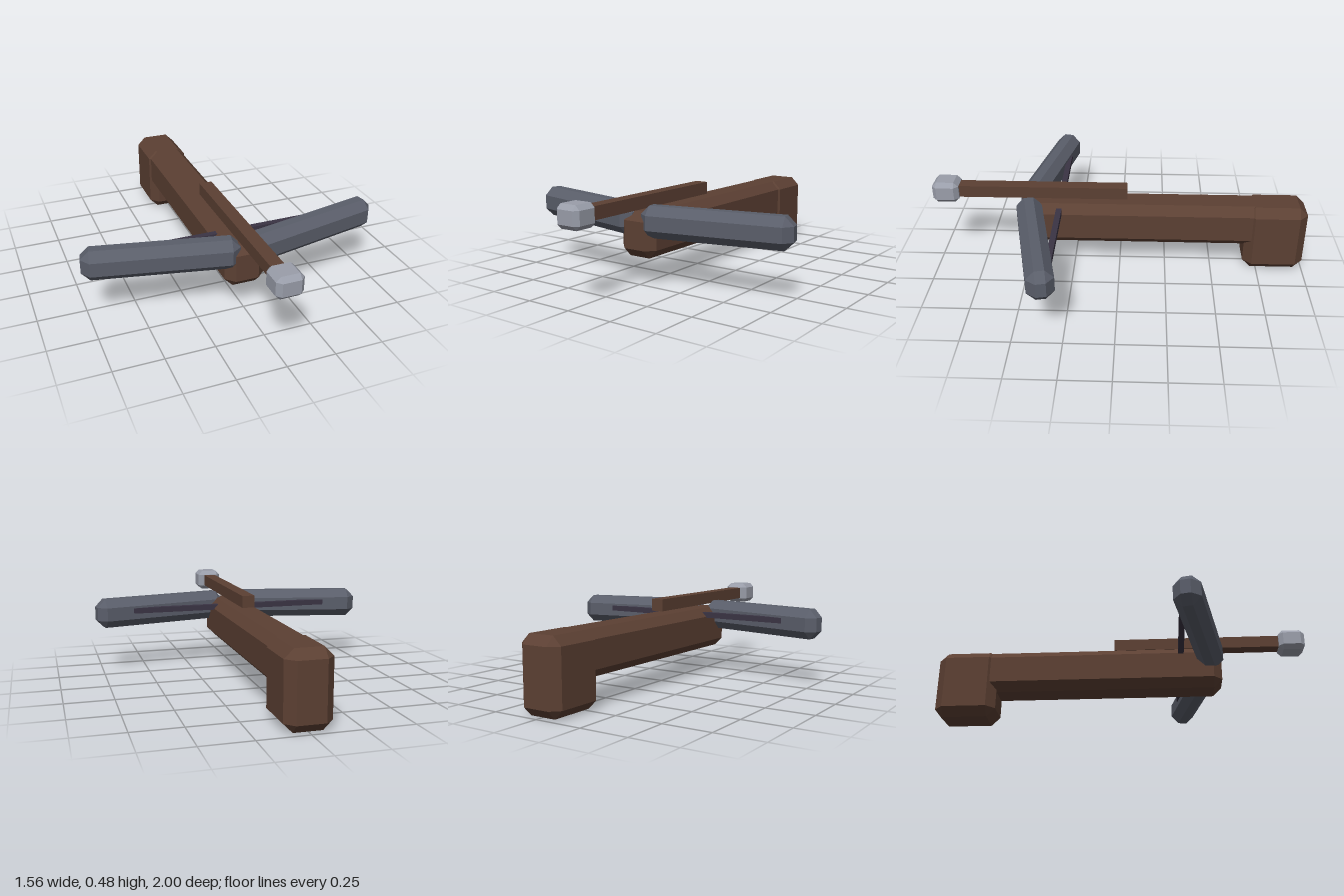
import * as THREE from 'three';
import { ConvexGeometry } from 'three/addons/geometries/ConvexGeometry.js';

function material(name, color) {
  const m = new THREE.MeshStandardMaterial({ color });
  m.name = name;
  return m;
}

// Box with all edges cut at 45 degrees: three points at each corner
function chamferedBox(w, h, d, c) {
  const points = [];
  for (const sx of [-1, 1]) for (const sy of [-1, 1]) for (const sz of [-1, 1]) {
    const x = w / 2, y = h / 2, z = d / 2;
    points.push(
      new THREE.Vector3(sx * x, sy * (y - c), sz * (z - c)),
      new THREE.Vector3(sx * (x - c), sy * y, sz * (z - c)),
      new THREE.Vector3(sx * (x - c), sy * (y - c), sz * z)
    );
  }
  return new ConvexGeometry(points);
}

export function createModel() {
  const group = new THREE.Group();
  group.name = 'crossbow';

  const wood = material('brown wood', 0x5c4033);
  const steel = material('dark steel', 0x5a5e6a);
  const cord = material('dark cord', 0x3a3444);
  const tipMetal = material('pale metal', 0x9a9eaa);

  function add(name, geometry, mat, x, y, z) {
    const mesh = new THREE.Mesh(geometry, mat);
    mesh.name = name;
    mesh.position.set(x, y, z);
    group.add(mesh);
    return mesh;
  }

  // Stock and butt
  add('stock', chamferedBox(0.21, 0.233, 1.4, 0.045), wood, 0, 0.2585, -0.16);
  add('butt', chamferedBox(0.23, 0.375, 0.325, 0.045), wood, 0, 0.1875, -0.8375);

  // Bow limbs, swept back
  const limbGeometry = chamferedBox(0.768, 0.16, 0.135, 0.043);
  for (const side of [1, -1]) {
    const limb = add(side > 0 ? 'leftLimb' : 'rightLimb', limbGeometry, steel, side * 0.4, 0.33, 0.413);
    limb.rotation.y = side * THREE.MathUtils.degToRad(12);
  }

  // Bowstring, passing through the stock
  add('bowstring', new THREE.BoxGeometry(1.24, 0.03, 0.03), cord, 0, 0.34, 0.323);

  // Bolt and its head
  add('boltShaft', new THREE.BoxGeometry(0.068, 0.065, 0.94), wood, 0, 0.4225, 0.43);
  add('boltHead', chamferedBox(0.137, 0.115, 0.14, 0.023), tipMetal, 0, 0.4225, 0.93);

  return group;
}
